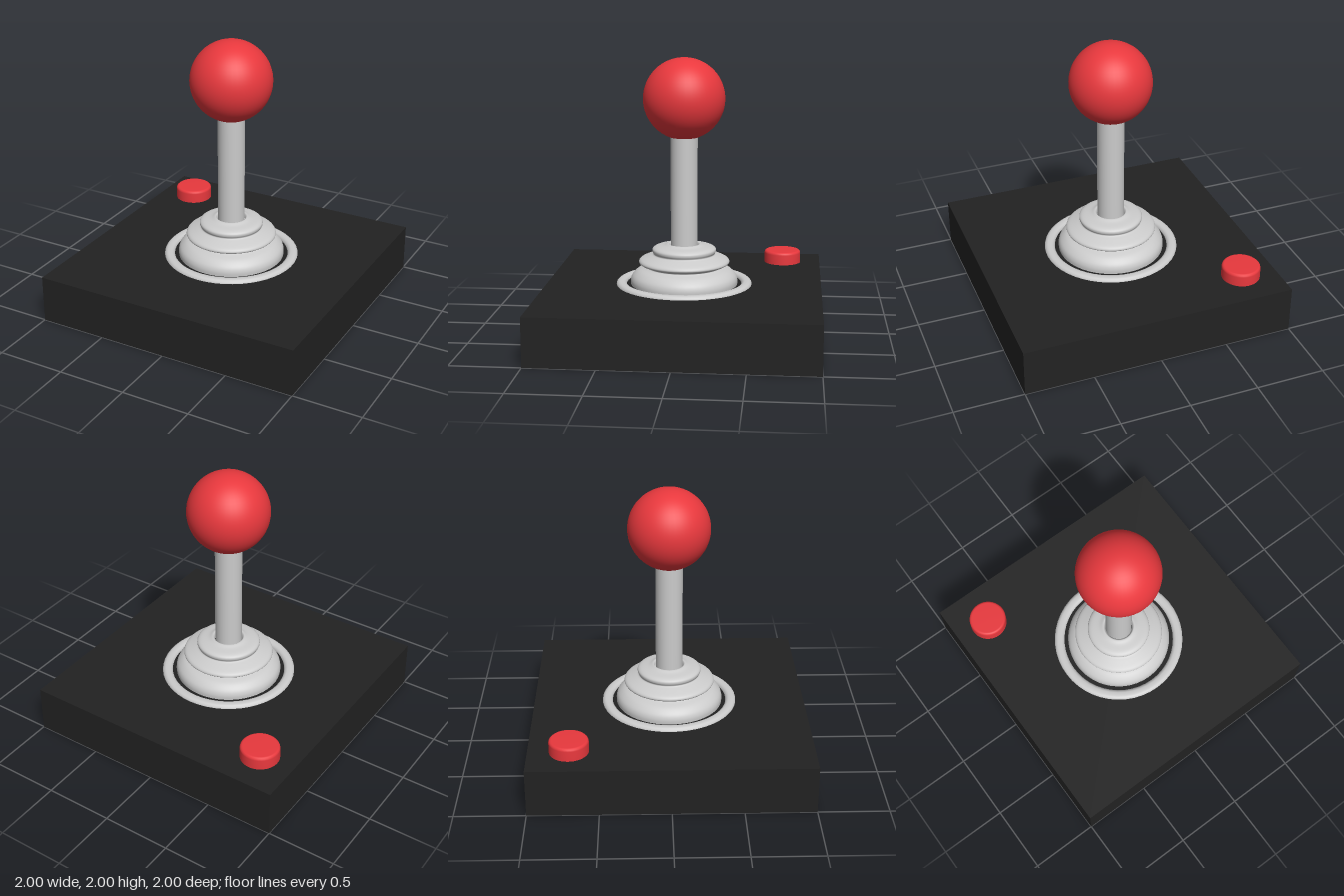
import * as THREE from 'three';

export function createModel() {
  const model = new THREE.Group();
  const grey = new THREE.MeshStandardMaterial({ color: 0xcccccc, side: THREE.DoubleSide });
  const black = new THREE.MeshStandardMaterial({ color: 0x222222 });
  const red = new THREE.MeshStandardMaterial({ color: 0xe8383d });

  const add = (name, geometry, material, x = 0, y = 0, z = 0) => {
    const mesh = new THREE.Mesh(geometry, material);
    mesh.name = name;
    mesh.position.set(x, y, z);
    model.add(mesh);
    return mesh;
  };
  const vectors = (points) => points.map(([r, y]) => new THREE.Vector2(r, y));
  const TOP = 0.35; // upper face of the base

  // Square slab
  add('base', new THREE.BoxGeometry(2, TOP, 2), black, 0, TOP / 2, 0);

  // Flat rounded trim ring around the boot
  const ring = vectors([
    [0.495, 0], [0.493, 0.01], [0.483, 0.02], [0.47, 0.025],
    [0.445, 0.025], [0.432, 0.02], [0.422, 0.01], [0.42, 0],
  ]);
  add('trimRing', new THREE.LatheGeometry(ring, 48), grey, 0, TOP, 0);

  // Bellows boot with three folds, rolled in at the shaft
  const folds = new THREE.SplineCurve(vectors([
    [0.39, 0.35], [0.39, 0.385], [0.375, 0.42], [0.335, 0.455], [0.28, 0.475],
    [0.285, 0.487], [0.32, 0.5], [0.331, 0.515], [0.315, 0.535], [0.26, 0.556],
    [0.225, 0.57], [0.232, 0.59], [0.23, 0.61], [0.205, 0.625], [0.15, 0.635],
    [0.122, 0.645], [0.11, 0.643], [0.1, 0.625],
  ]));
  add('boot', new THREE.LatheGeometry(folds.getPoints(68), 48), grey);

  // Stick and ball knob
  add('shaft', new THREE.CylinderGeometry(0.098, 0.098, 1.03, 32), grey, 0, 0.935, 0);
  add('knob', new THREE.SphereGeometry(0.295, 48, 32), red, 0, 1.705, 0);

  // Fire button with a softened rim
  const button = vectors([
    [0.14, 0], [0.14, 0.075], [0.137, 0.086], [0.13, 0.093], [0.12, 0.096], [0, 0.096],
  ]);
  add('button', new THREE.LatheGeometry(button, 40), red, -0.735, TOP, -0.71);

  return model;
}
